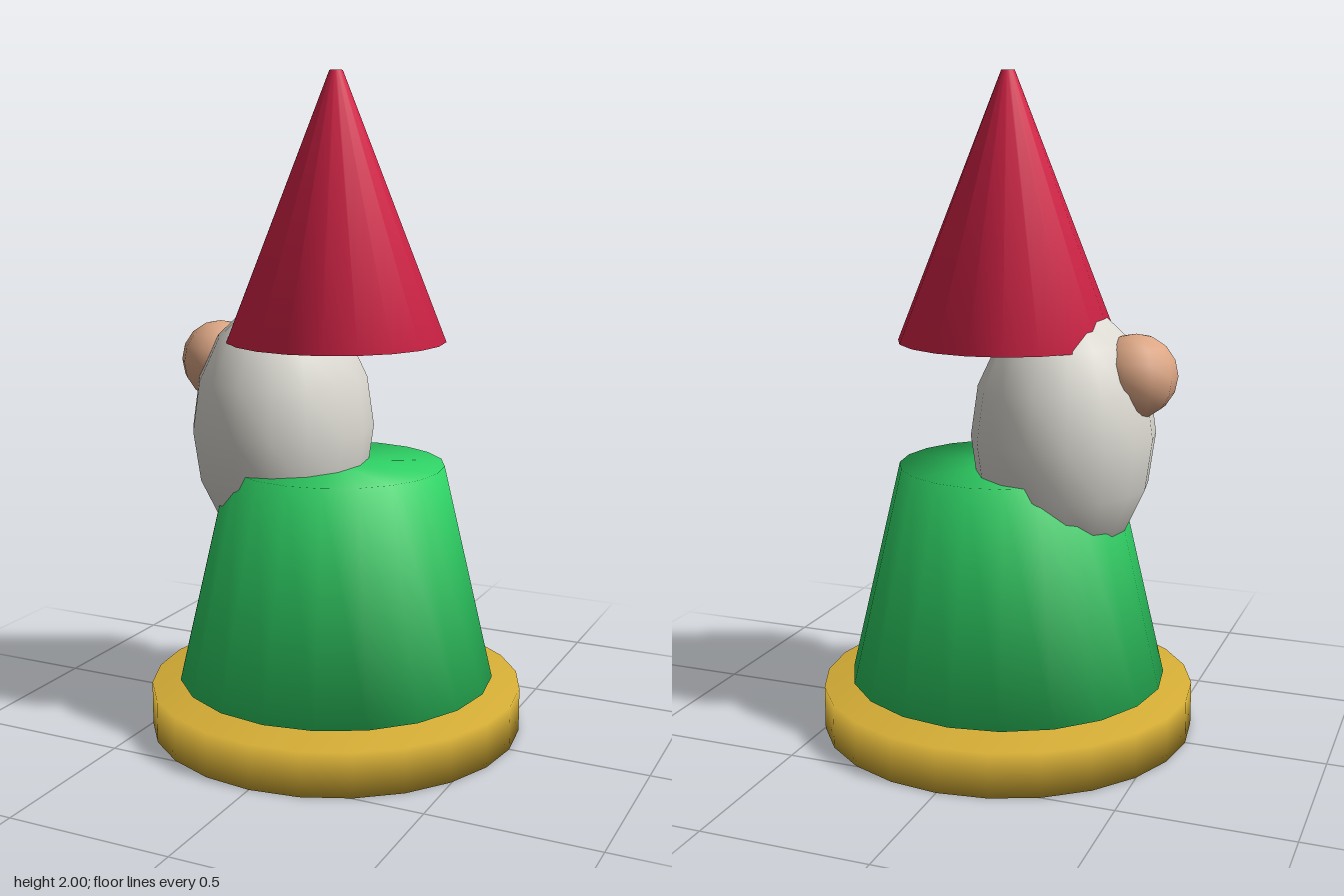
import * as THREE from 'three';

const material = (name, color) => {
  const m = new THREE.MeshStandardMaterial({ color });
  m.name = name;
  return m;
};

export function createModel() {
  const group = new THREE.Group();
  const gold = material('gold', 0xd6ae36);
  const green = material('green', 0x2fd366);
  const white = material('offWhite', 0xdcdad2);
  const red = material('red', 0xdb2449);
  const skin = material('skin', 0xdda785);

  const add = (name, geometry, mat) => {
    const mesh = new THREE.Mesh(geometry, mat);
    mesh.name = name;
    group.add(mesh);
    return mesh;
  };

  // Closed frustum with normals blended across its rims
  const frustum = (r0, y0, r1, y1, sides) =>
    new THREE.LatheGeometry(
      [[0, y0], [r0, y0], [r1, y1], [0, y1]].map(([r, y]) => new THREE.Vector2(r, y)),
      sides
    );

  // Stacked round parts
  add('base', frustum(0.575, 0, 0.575, 0.135, 24), gold);
  add('body', frustum(0.488, 0.16, 0.333, 0.825, 20), green);
  add('hat', frustum(0.333, 1.205, 0.02, 2, 20), red);

  // Beard, an egg shape set toward the face side
  const beard = add('beard', new THREE.SphereGeometry(1, 16, 8), white);
  beard.scale.set(0.275, 0.4, 0.31);
  beard.position.set(-0.18, 0.93, 0);

  // Round nose with a flat facet facing outward
  const nose = add('nose', new THREE.SphereGeometry(0.125, 10, 8), skin);
  nose.rotation.y = Math.PI / 10;
  nose.position.set(-0.4, 1.12, 0);

  return group;
}
